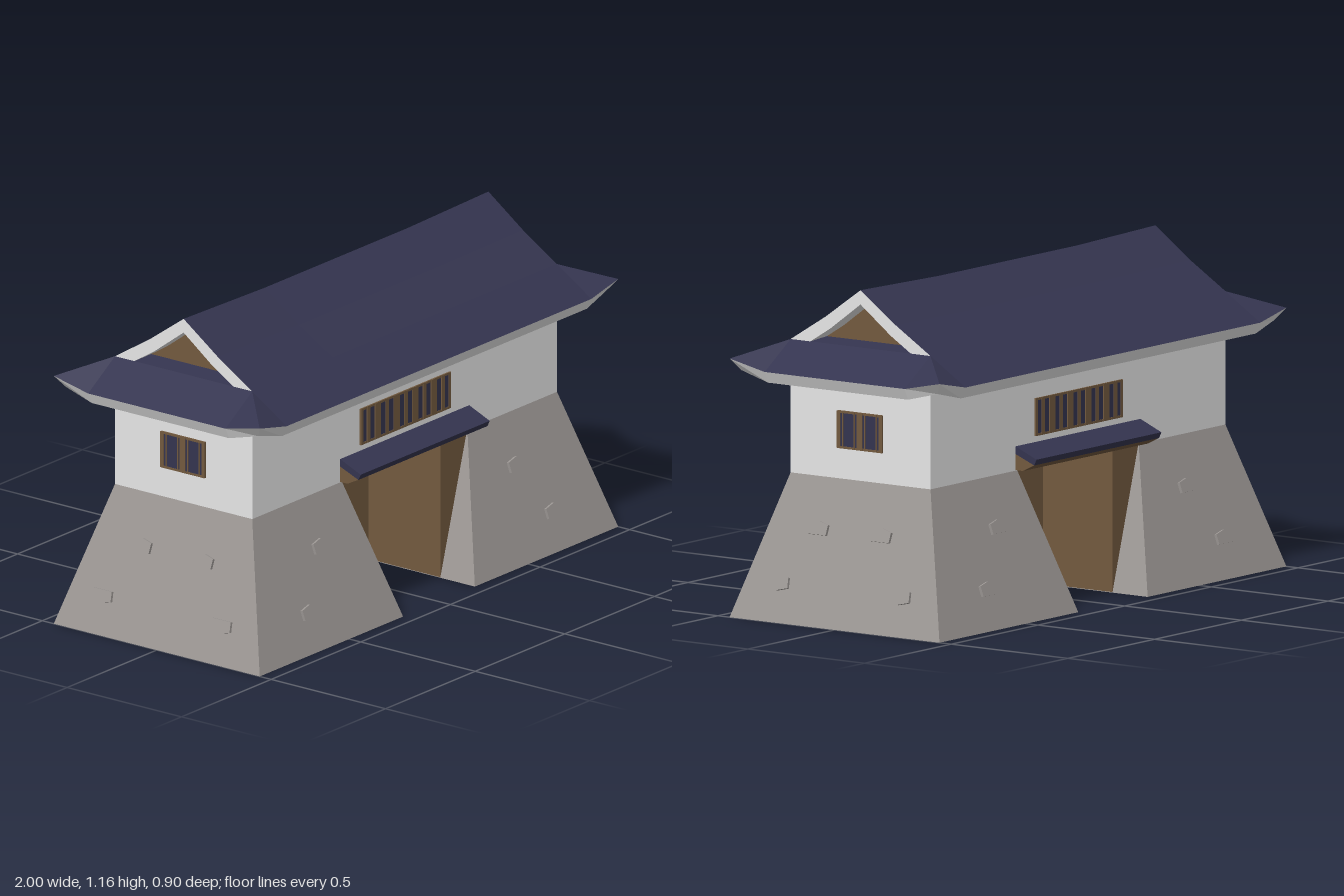
import * as THREE from 'three';

const mat = (name, color) => {
  const m = new THREE.MeshStandardMaterial({ color });
  m.name = name;
  return m;
};

export function createModel() {
  const root = new THREE.Group();
  root.name = 'gatehouse';
  const plaster = mat('white plaster', 0xf0f0f0);
  const stone = mat('grey stone', 0x9d9895);
  const wood = mat('brown wood', 0x735a3f);
  const tile = mat('navy tile', 0x34344f);

  const add = (name, geometry, material, parent = root) => {
    const mesh = new THREE.Mesh(geometry, material);
    mesh.name = name;
    parent.add(mesh);
    return mesh;
  };
  const box = (name, w, h, d, x, y, z, material, parent) =>
    add(name, new THREE.BoxGeometry(w, h, d).translate(x, y, z), material, parent);

  // Flat faces given for one quarter, mirrored to all four
  const mirroredFaces = (name, faces, material) => {
    const pos = [];
    for (const sx of [1, -1]) for (const sz of [1, -1]) for (const face of faces) {
      const pts = face.map(([x, y, z]) => [x * sx, y, z * sz]);
      if (sx * sz < 0) pts.reverse();
      for (let i = 1; i < pts.length - 1; i++) pos.push(...pts[0], ...pts[i], ...pts[i + 1]);
    }
    const g = new THREE.BufferGeometry();
    g.setAttribute('position', new THREE.Float32BufferAttribute(pos, 3));
    g.computeVertexNormals();
    return add(name, g, material);
  };

  // Battered stone bases with dark undersides, timber linings in the passage
  for (const s of [1, -1]) {
    const g = new THREE.BoxGeometry(1, 1, 1);
    const p = g.attributes.position;
    for (let i = 0; i < p.count; i++) {
      const top = p.getY(i) > 0;
      const outer = p.getX(i) * s > 0;
      const x = outer ? (top ? 0.85 : 1) : (top ? 0.35 : 0.2);
      p.setXYZ(i, s * x, top ? 0.5 : 0, Math.sign(p.getZ(i)) * (top ? 0.3 : 0.45));
    }
    g.computeVertexNormals();
    add('stoneBase', g, [stone, stone, stone, tile, stone, stone]);
    box('passageLining', 0.15, 0.496, 0.598, s * 0.275, 0.25, 0, wood);
  }
  box('passageCeiling', 0.69, 0.006, 0.598, 0, 0.496, 0, wood);

  // Raised stones on the sloping faces
  const outline = [[-0.04, -0.022], [0.04, -0.022], [0.043, 0.015], [0.003, 0.026], [-0.043, 0.015]];
  const block = (flip) => new THREE.ExtrudeGeometry(
    new THREE.Shape(outline.map(([x, y]) => new THREE.Vector2(x * flip, y * flip))),
    { depth: 0.01, bevelEnabled: false });
  const tilt = Math.atan2(0.15, 0.5);
  for (let side = 0; side < 4; side++) {
    const face = new THREE.Group();
    face.name = 'raisedStones';
    face.rotation.y = side * Math.PI / 2;
    root.add(face);
    const end = side % 2;
    const reach = end ? 1 : 0.45;
    const spots = end ? [[0.135, 0.328, 1], [0.26, 0.133, -1]] : [[0.545, 0.333, 1], [0.68, 0.14, 1]];
    for (const [u, y, flip] of spots) for (const s of [1, -1]) {
      const b = add('raisedStone', block(flip), stone, face);
      b.position.set(s * u, y, reach - 0.3 * y + 0.007);
      b.rotation.x = -tilt;
    }
  }

  // Upper storey
  box('upperWall', 1.7, 0.425, 0.6, 0, 0.7125, 0, plaster);

  // Barred windows: dark panel, frame and upright bars
  const barredWindow = (name, w, bars, angle, dist) => {
    const g = new THREE.Group();
    g.name = name;
    g.rotation.y = angle;
    root.add(g);
    box('windowPanel', w, 0.125, 0.004, 0, 0.672, dist + 0.002, tile, g);
    for (const y of [0.61, 0.734]) box('windowRail', w, 0.008, 0.006, 0, y, dist + 0.003, wood, g);
    for (const [x, bw] of bars) box('windowBar', bw, 0.13, 0.007, x, 0.672, dist + 0.0035, wood, g);
  };
  const longBars = [[-0.245, 0.012], [0.245, 0.012]];
  for (let i = -4; i <= 4; i++) longBars.push([i * 0.052, i % 2 ? 0.032 : 0.018]);
  const shortBars = [[0, 0.024]];
  for (const s of [1, -1]) shortBars.push([s * 0.09, 0.014], [s * 0.072, 0.004], [s * 0.022, 0.004]);
  for (const k of [0, 1]) {
    barredWindow('longWindow', 0.5, longBars, k * Math.PI, 0.3);
    barredWindow('endWindow', 0.19, shortBars, Math.PI / 2 + k * Math.PI, 0.85);
  }

  // Small canopies over both gateways, as profiles run along x
  const run = (pts) => new THREE.ExtrudeGeometry(
    new THREE.Shape(pts.map(([z, y]) => new THREE.Vector2(z, y))),
    { depth: 0.72, bevelEnabled: false }).translate(0, 0, -0.36).rotateY(-Math.PI / 2);
  for (const k of [0, 1]) {
    const g = new THREE.Group();
    g.name = 'gateCanopy';
    g.rotation.y = k * Math.PI;
    root.add(g);
    add('canopyRoof', run([[0.295, 0.56], [0.38, 0.526], [0.39, 0.547], [0.295, 0.587]]), tile, g);
    add('canopyBeam', run([[0.295, 0.502], [0.332, 0.502], [0.38, 0.526], [0.295, 0.56]]), wood, g);
  }

  // Main roof: top grid T and underside grid B for one quarter
  const xs = [0, 0.4, 0.85];
  const profile = [[0, 1.165], [0.15, 1.058], [0.3, 0.965], [0.45, 0.87]];
  const sag = (i, j) => (i < 2 && j < 2 ? 0.01 / (j + 1) : 0);
  const T = (i, j) => [xs[i], profile[j][1] - sag(i, j), profile[j][0]];
  const B = (i, j) => [xs[i], profile[j][1] - sag(i, j) - (j ? 0.04 : 0.05), Math.max(0, profile[j][0] - 0.02)];
  const tops = [], trims = [];
  for (let i = 0; i < 2; i++) {
    for (let j = 0; j < 3; j++) {
      tops.push([T(i, j), T(i, j + 1), T(i + 1, j + 1), T(i + 1, j)]);
      trims.push([B(i, j), B(i + 1, j), B(i + 1, j + 1), B(i, j + 1)]);
    }
    trims.push([T(i, 3), B(i, 3), B(i + 1, 3), T(i + 1, 3)]);
  }
  for (let j = 0; j < 2; j++) trims.push([T(2, j), T(2, j + 1), B(2, j + 1), B(2, j)]);

  // Upturned corner and end skirt
  const P = T(2, 2), Pb = B(2, 2), E = T(2, 3), Eb = B(2, 3);
  const C = [1, 0.902, 0.45], Cb = [0.97, 0.86, 0.42];
  const H = [1, 0.87, 0.3], Hb = [0.98, 0.83, 0.3];
  const M = [1, 0.87, 0], Mb = [0.98, 0.83, 0];
  const Q = [0.85, 0.965, 0], Qb = [0.85, 0.925, 0];
  tops.push([P, E, C], [P, C, H], [Q, P, H, M]);
  tops.push([[0.78, 0.976, 0], [0.78, 0.976, 0.24], P, Q]);
  trims.push([E, Eb, Cb, C], [C, Cb, Hb, H], [H, Hb, Mb, M]);
  trims.push([Pb, Cb, Eb], [Pb, Hb, Cb], [Qb, Mb, Hb, Pb]);
  mirroredFaces('roofTiles', tops, tile);
  mirroredFaces('roofTrim', trims, plaster);

  // Recessed timber gables
  mirroredFaces('gable', [[[0.78, 1.13, 0], [0.78, 0.95, 0.26], [0.78, 0.95, 0]]], wood);

  return root;
}
